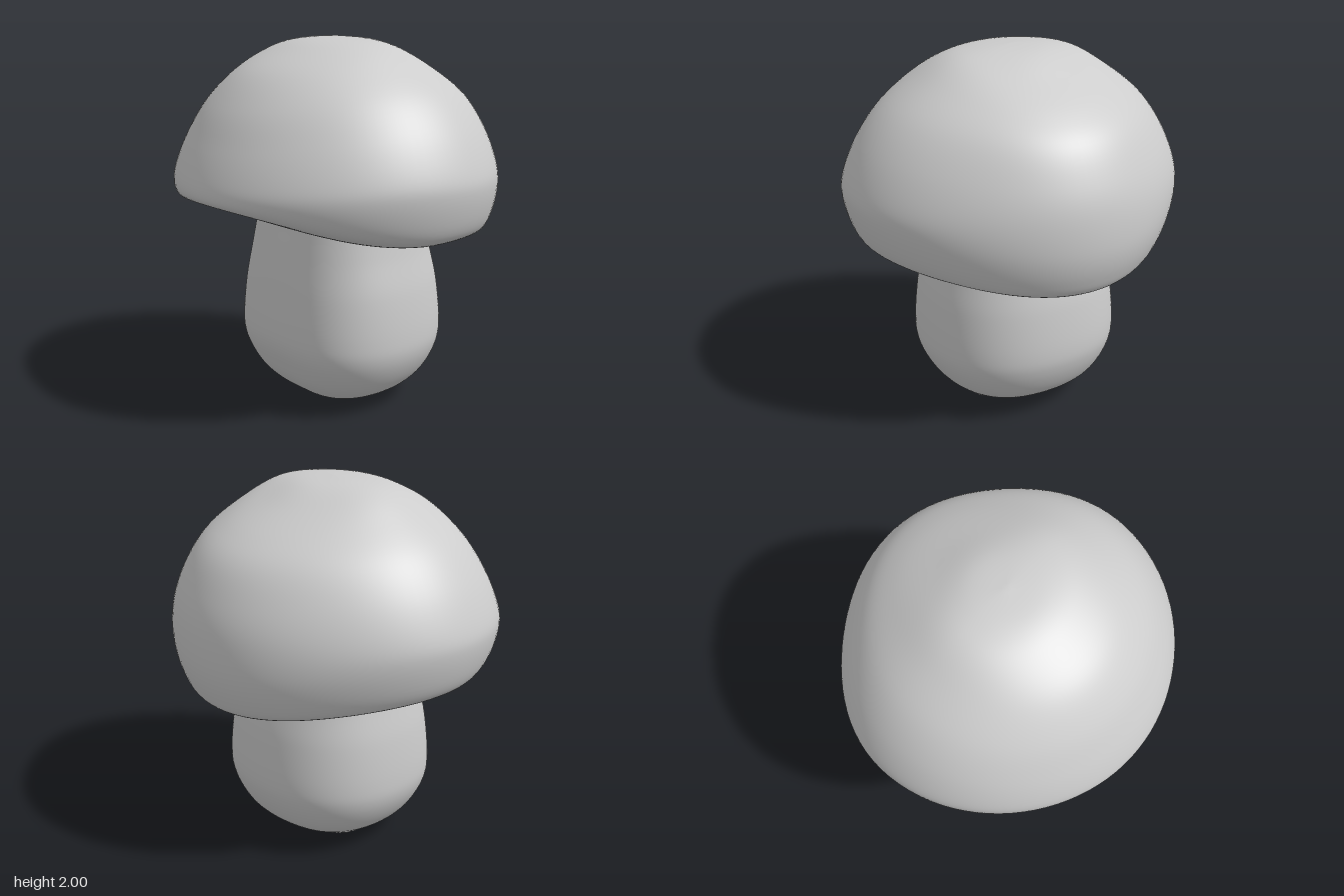
import * as THREE from 'three';
import { mergeVertices } from 'three/addons/utils/BufferGeometryUtils.js';

// Lofts a smooth closed body from matching front, side and back profiles of [radius, y], top to bottom.
// bulge scales the front and back diagonals; holes are rounded openings cut in plan.
function loft({ front, side, back, bulge, rings, segments, holes = [] }) {
  const [f, s, b] = [front, side, back].map(
    p => new THREE.SplineCurve(p.map(([r, y]) => new THREE.Vector2(r, y))));
  const positions = [], inside = [], index = [];
  for (let i = 0; i <= rings; i++) {
    const t = i / rings;
    const pf = f.getPoint(t), ps = s.getPoint(t), pb = b.getPoint(t);
    for (let j = 0; j < segments; j++) {
      const a = (j / segments) * Math.PI * 2;
      const c = Math.cos(a), w = c * c;
      const end = c > 0 ? pf : pb;
      const p = ps.clone().lerp(end, w);
      const r = Math.max(0, p.x) * (1 + (c > 0 ? bulge[0] : bulge[1]) * Math.sin(2 * a) ** 2);
      let x = r * Math.sin(a), z = r * c, cut = false;
      // Points within an opening slide out to its rim
      for (const h of holes) {
        const dx = x - h.x, dz = z - h.z;
        const d = Math.cbrt(Math.abs(dx / h.rx) ** 3 + Math.abs(dz / h.rz) ** 3);
        if (d < 1 && d > 0) {
          cut = true;
          x = h.x + dx / d;
          z = h.z + dz / d;
        }
      }
      positions.push(x, p.y, z);
      inside.push(cut);
    }
  }
  const addFace = (...v) => { if (!v.every(k => inside[k])) index.push(...v); };
  for (let i = 0; i < rings; i++) {
    for (let j = 0; j < segments; j++) {
      const k = (j + 1) % segments;
      const p = i * segments + j, q = p + segments;
      const p2 = i * segments + k, q2 = p2 + segments;
      addFace(p, q, q2);
      addFace(p, q2, p2);
    }
  }
  let geometry = new THREE.BufferGeometry();
  geometry.setAttribute('position', new THREE.Float32BufferAttribute(positions, 3));
  geometry.setIndex(index);
  geometry = mergeVertices(geometry, 1e-5); // joins the poles
  geometry.computeVertexNormals();
  return geometry;
}

export function createModel() {
  const group = new THREE.Group();
  group.name = 'mushroom';
  const grey = new THREE.MeshStandardMaterial({ color: 0xcccccc, side: THREE.DoubleSide });
  grey.name = 'light grey';

  const add = (name, options) => {
    const mesh = new THREE.Mesh(loft(options), grey);
    mesh.name = name;
    group.add(mesh);
  };

  // Domed cap, tilted down at the back, with a lip curling up around the stem
  add('cap', {
    front: [[0, 2], [0.2, 1.985], [0.36, 1.93], [0.55, 1.82], [0.7, 1.65], [0.8, 1.47], [0.86, 1.33],
      [0.882, 1.24], [0.86, 1.195], [0.78, 1.165], [0.6, 1.1], [0.47, 1.055], [0.41, 1.07], [0.36, 1.13]],
    side: [[0, 2], [0.2, 1.99], [0.36, 1.955], [0.52, 1.86], [0.7, 1.72], [0.83, 1.55], [0.915, 1.36],
      [0.925, 1.24], [0.88, 1.08], [0.81, 1.01], [0.66, 0.98], [0.545, 0.975], [0.5, 1.02], [0.46, 1.1]],
    back: [[0, 2], [0.2, 1.975], [0.4, 1.88], [0.6, 1.77], [0.73, 1.66], [0.82, 1.5], [0.87, 1.34],
      [0.882, 1.15], [0.85, 1.0], [0.79, 0.91], [0.64, 0.89], [0.54, 0.9], [0.49, 0.93], [0.45, 1.05]],
    bulge: [-0.01, -0.04], rings: 78, segments: 96,
  });

  // Hollow stem, fuller at the base, with two openings underneath
  add('stem', {
    front: [[0.34, 1.14], [0.355, 1.03], [0.39, 0.85], [0.42, 0.65], [0.44, 0.45], [0.435, 0.34],
      [0.4, 0.24], [0.35, 0.15], [0.27, 0.07], [0.17, 0.025], [0, 0]],
    side: [[0.46, 1.14], [0.47, 1.03], [0.495, 0.87], [0.535, 0.67], [0.555, 0.45], [0.545, 0.32],
      [0.49, 0.2], [0.41, 0.11], [0.3, 0.047], [0.18, 0.015], [0, 0]],
    back: [[0.45, 1.14], [0.46, 1.03], [0.49, 0.86], [0.53, 0.68], [0.555, 0.45], [0.54, 0.32],
      [0.48, 0.19], [0.4, 0.11], [0.3, 0.05], [0.18, 0.015], [0, 0]],
    bulge: [0.07, 0.04], rings: 100, segments: 128,
    holes: [-1, 1].map(side => ({ x: side * 0.24, z: -0.145, rx: 0.1, rz: 0.097 })),
  });

  return group;
}
